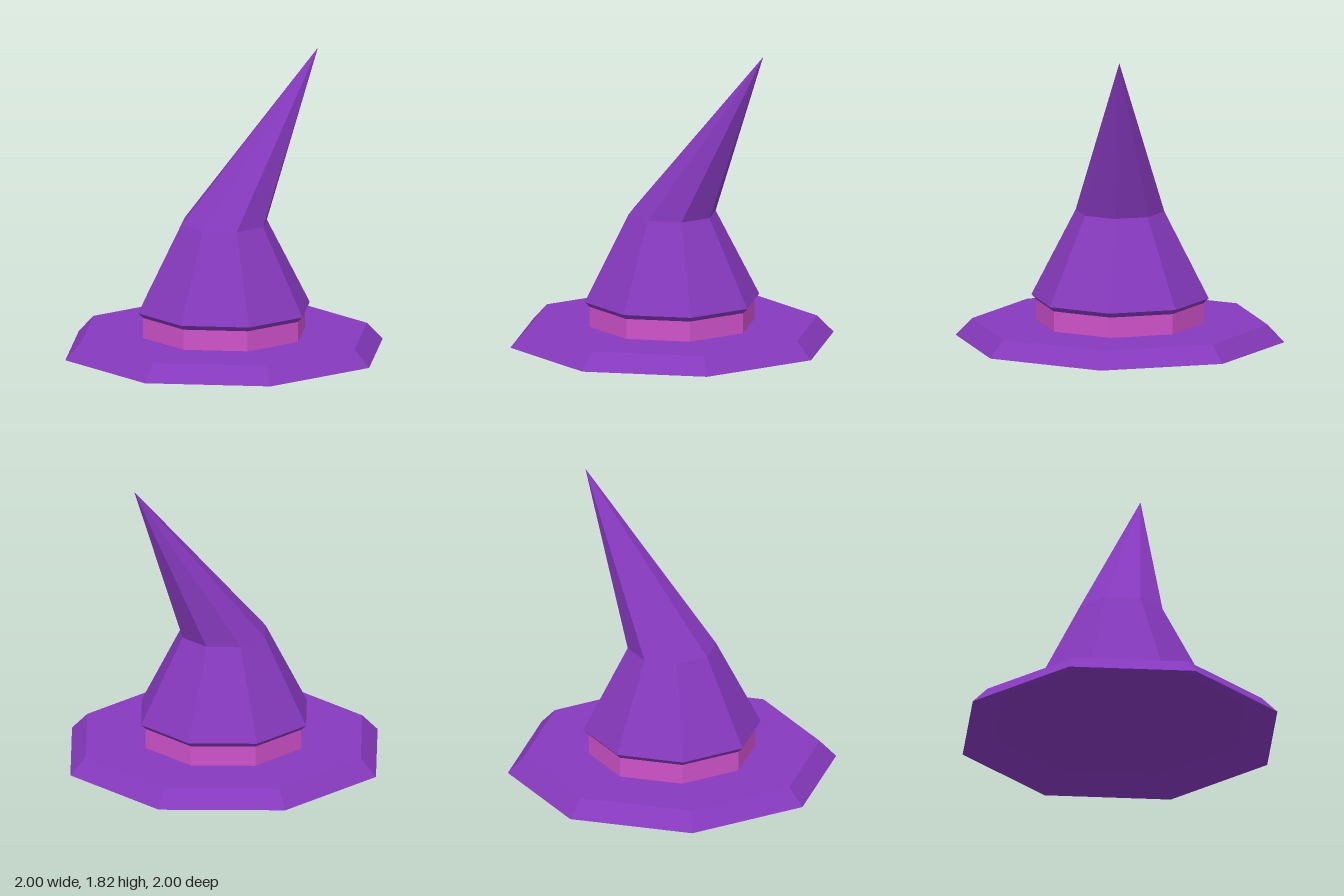
import * as THREE from 'three';

const SIDES = 8;

// Eight-sided solid of revolution from [radius, height] pairs, listed bottom to top
function octagonal(name, profile, material) {
  const points = profile.map(([r, y]) => new THREE.Vector2(r, y));
  const mesh = new THREE.Mesh(new THREE.LatheGeometry(points, SIDES), material);
  mesh.name = name;
  return mesh;
}

export function createModel() {
  const felt = new THREE.MeshStandardMaterial({ color: 0x8639bd, flatShading: true });
  felt.name = 'purple felt';
  const ribbon = new THREE.MeshStandardMaterial({ color: 0xcf52ca, flatShading: true });
  ribbon.name = 'pink ribbon';

  const hat = new THREE.Group();
  hat.name = 'pointedHat';

  // Brim with a bevelled edge and a recessed underside
  hat.add(octagonal('brim', [[0, 0.08], [0.8, 0.08], [1, 0], [0.9, 0.105], [0, 0.105]], felt));

  // Ribbon band around the foot of the crown
  hat.add(octagonal('band', [[0.51, 0.1], [0.51, 0.23]], ribbon));

  // Crown: flared lip, tapering body and a tip bent to one side and backwards
  const bendY = 0.79, tipY = 1.82;
  const crown = octagonal('crown', [[0, 0.23], [0.51, 0.23], [0.54, 0.26], [0.27, bendY], [0, tipY]], felt);
  const pos = crown.geometry.attributes.position;
  for (let i = 0; i < pos.count; i++) {
    const bend = Math.max(0, (pos.getY(i) - bendY) / (tipY - bendY));
    pos.setX(i, pos.getX(i) + 0.385 * bend);
    pos.setZ(i, pos.getZ(i) - 0.48 * bend);
  }
  crown.geometry.computeVertexNormals();
  hat.add(crown);

  return hat;
}
